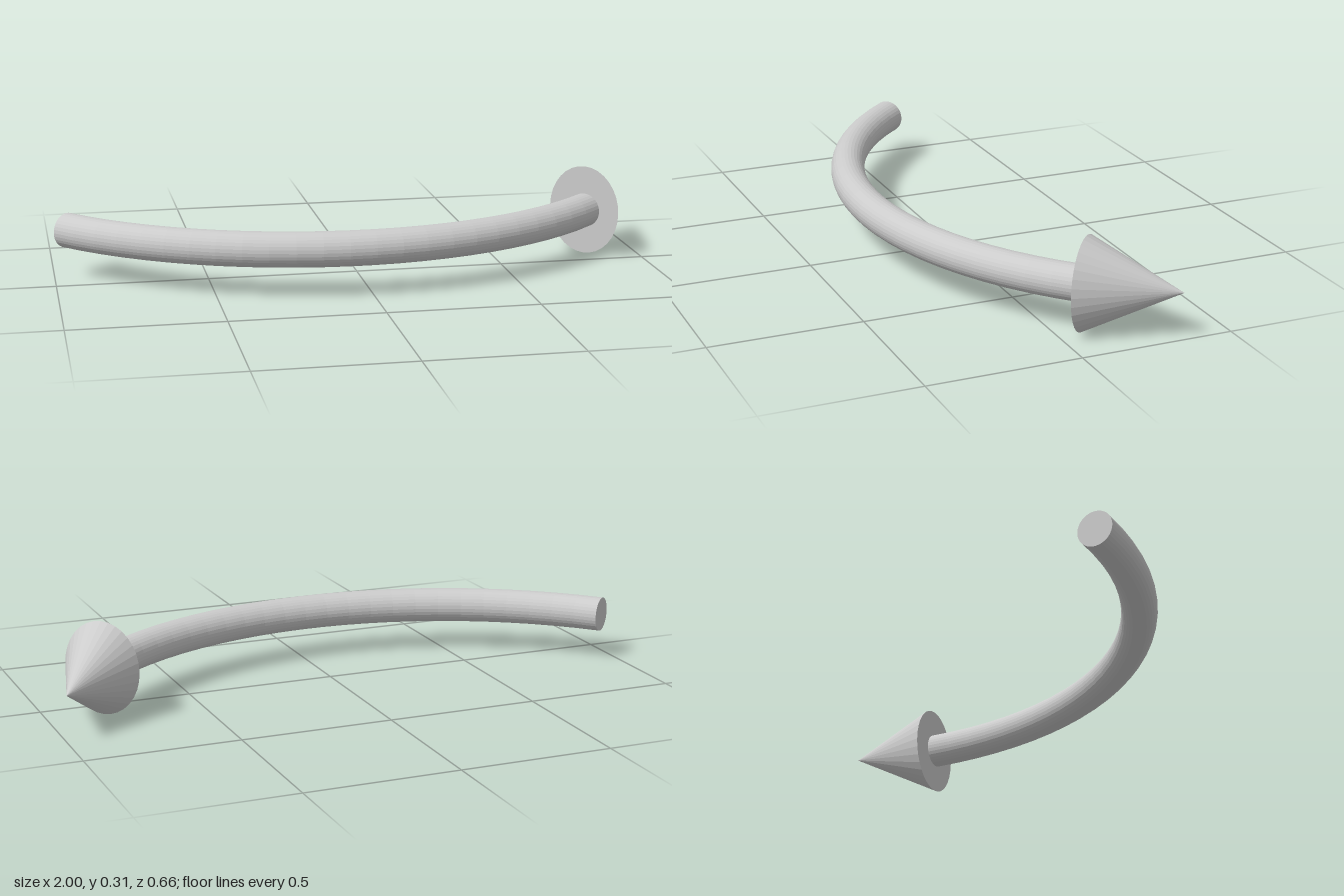
import * as THREE from 'three';
import { mergeGeometries } from 'three/addons/utils/BufferGeometryUtils.js';

const SIDES = 32;
const HEIGHT = 0.153; // height of the centre line
const BEND = 1.205; // radius of the curved shaft
const SHAFT = 0.058; // thickness radius of the shaft
const START = THREE.MathUtils.degToRad(139); // tail end
const END = THREE.MathUtils.degToRad(44.3); // head end

// Flat disc closing the shaft at an angle along the bend
function endCap(angle, facing) {
  return new THREE.CircleGeometry(SHAFT, SIDES)
    .rotateX(-facing * Math.PI / 2)
    .translate(BEND, 0, 0)
    .rotateZ(angle);
}

export function createModel() {
  const group = new THREE.Group();
  group.name = 'curvedArrow';
  const material = new THREE.MeshStandardMaterial({ color: 0xcccccc, flatShading: true });

  // Shaft: an arc of a ring lying flat, capped at both ends
  const arc = new THREE.TorusGeometry(BEND, SHAFT, SIDES, 24, START - END).rotateZ(END);
  const shaftGeometry = mergeGeometries([arc, endCap(START, 1), endCap(END, -1)])
    .rotateX(Math.PI / 2)
    .translate(-0.045, HEIGHT, -0.932);
  const shaft = new THREE.Mesh(shaftGeometry, material);
  shaft.name = 'shaft';
  group.add(shaft);

  // Head: a slightly flattened, skewed cone set by its base axes and its tip
  const headGeometry = new THREE.ConeGeometry(1, 1, SIDES).translate(0, 0.5, 0);
  const skew = new THREE.Matrix4().makeBasis(
    new THREE.Vector3(0.094, 0, 0.093),
    new THREE.Vector3(0.182, 0, -0.24),
    new THREE.Vector3(0, HEIGHT, 0)
  ).setPosition(0.818, HEIGHT, -0.094);
  headGeometry.applyMatrix4(skew);
  const head = new THREE.Mesh(headGeometry, material);
  head.name = 'arrowHead';
  group.add(head);

  return group;
}
